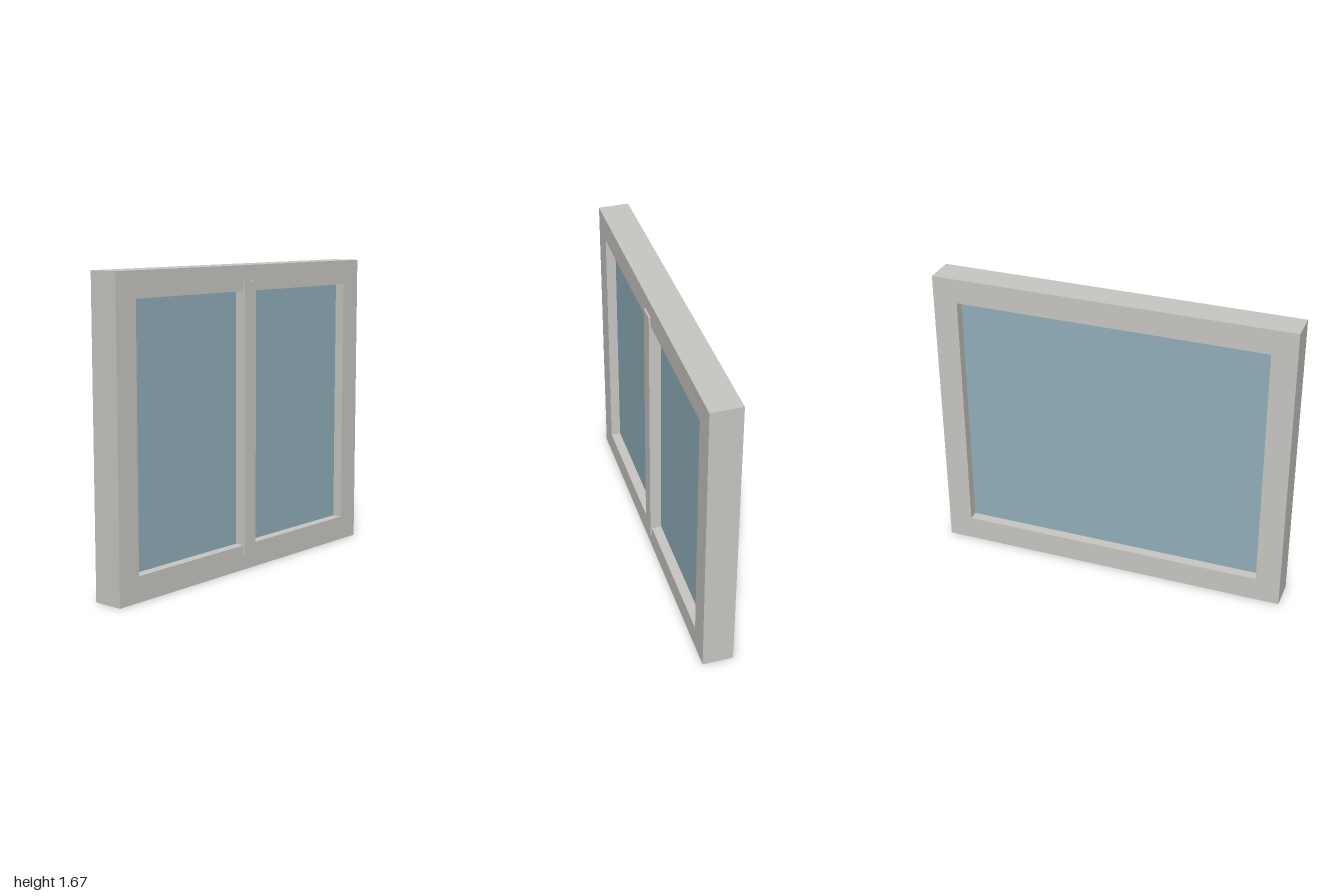
import * as THREE from 'three';

const WIDTH = 2, HEIGHT = 1.67;
const BACK = -0.09, FRONT = 0.08;          // frame depth range
const GLASS_BACK = -0.035, GLASS_FRONT = 0.025;
const OPEN_X = 0.863, OPEN_BOTTOM = 0.138, OPEN_TOP = 1.532;

// Adds a rectangle outline to a shape or path
function rect(path, x0, y0, x1, y1) {
  path.moveTo(x0, y0);
  path.lineTo(x1, y0);
  path.lineTo(x1, y1);
  path.lineTo(x0, y1);
  path.closePath();
  return path;
}

// Box given by its minimum and maximum corners
function box(name, material, [x0, y0, z0], [x1, y1, z1]) {
  const mesh = new THREE.Mesh(new THREE.BoxGeometry(x1 - x0, y1 - y0, z1 - z0), material);
  mesh.position.set((x0 + x1) / 2, (y0 + y1) / 2, (z0 + z1) / 2);
  mesh.name = name;
  return mesh;
}

export function createModel() {
  const model = new THREE.Group();
  model.name = 'window';

  const frameMaterial = new THREE.MeshStandardMaterial({ color: 0xc9c7c2 });
  frameMaterial.name = 'warm grey frame';
  const glassMaterial = new THREE.MeshStandardMaterial({ color: 0x92afbb });
  glassMaterial.name = 'blue glass';

  // Surround with a rectangular opening
  const outline = rect(new THREE.Shape(), -WIDTH / 2, 0, WIDTH / 2, HEIGHT);
  outline.holes.push(rect(new THREE.Path(), -OPEN_X, OPEN_BOTTOM, OPEN_X, OPEN_TOP));
  const frame = new THREE.Mesh(
    new THREE.ExtrudeGeometry(outline, { depth: FRONT - BACK, bevelEnabled: false }),
    frameMaterial
  );
  frame.position.z = BACK;
  frame.name = 'frame';
  model.add(frame);

  // Pane recessed from both faces
  model.add(box('glassPane', glassMaterial,
    [-OPEN_X, OPEN_BOTTOM, GLASS_BACK], [OPEN_X, OPEN_TOP, GLASS_FRONT]));

  // Central bar, standing slightly proud of the frame front
  model.add(box('mullion', frameMaterial,
    [-0.046, 0.085, GLASS_FRONT - 0.005], [0.046, 1.585, 0.09]));

  return model;
}
